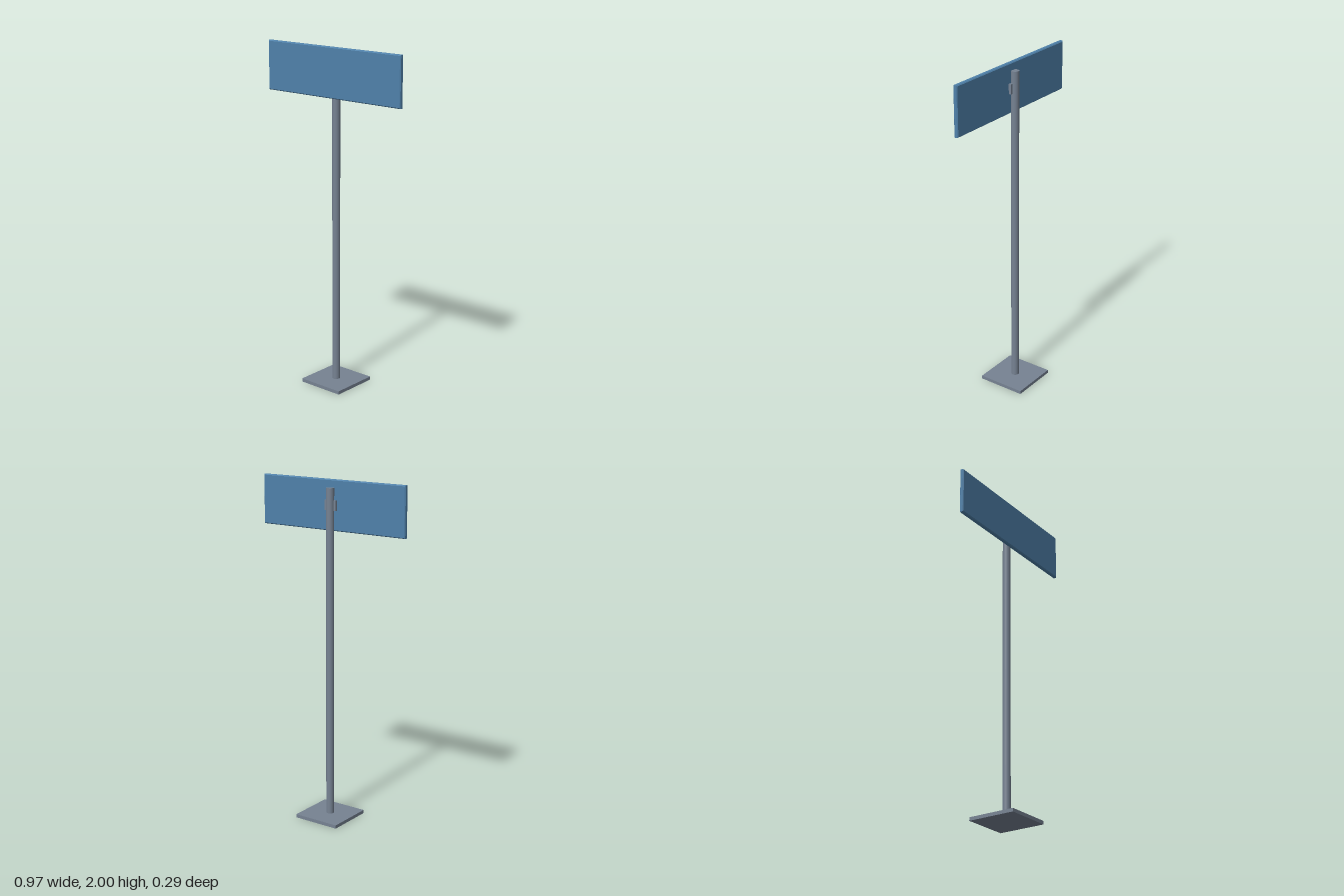
import * as THREE from 'three';

export function createModel() {
  const model = new THREE.Group();
  const steel = new THREE.MeshStandardMaterial({ name: 'grey steel', color: 0x768292 });
  const blue = new THREE.MeshStandardMaterial({ name: 'blue panel', color: 0x4f81aa });

  const add = (name, geometry, material, x, y, z) => {
    const mesh = new THREE.Mesh(geometry, material);
    mesh.name = name;
    mesh.position.set(x, y, z);
    model.add(mesh);
  };

  // Square foot plate and round post
  add('basePlate', new THREE.BoxGeometry(0.288, 0.02, 0.288), steel, 0, 0.01, 0);
  add('post', new THREE.CylinderGeometry(0.023, 0.023, 1.935, 32), steel, 0, 0.9875, 0);

  // Bracket joining the post to the panel
  add('bracket', new THREE.BoxGeometry(0.076, 0.058, 0.018), steel, 0, 1.857, 0.009);

  // Sign panel with chamfered front and back edges
  const bevel = 0.005;
  const w = 0.485 - bevel;
  const h = 0.144 - bevel;
  const outline = new THREE.Shape([
    new THREE.Vector2(-w, -h), new THREE.Vector2(w, -h),
    new THREE.Vector2(w, h), new THREE.Vector2(-w, h),
  ]);
  const panel = new THREE.ExtrudeGeometry(outline, {
    depth: 0.016, bevelEnabled: true, bevelThickness: bevel, bevelSize: bevel, bevelSegments: 1,
  });
  add('signPanel', panel, blue, 0, 1.856, 0.015 + bevel);

  return model;
}
